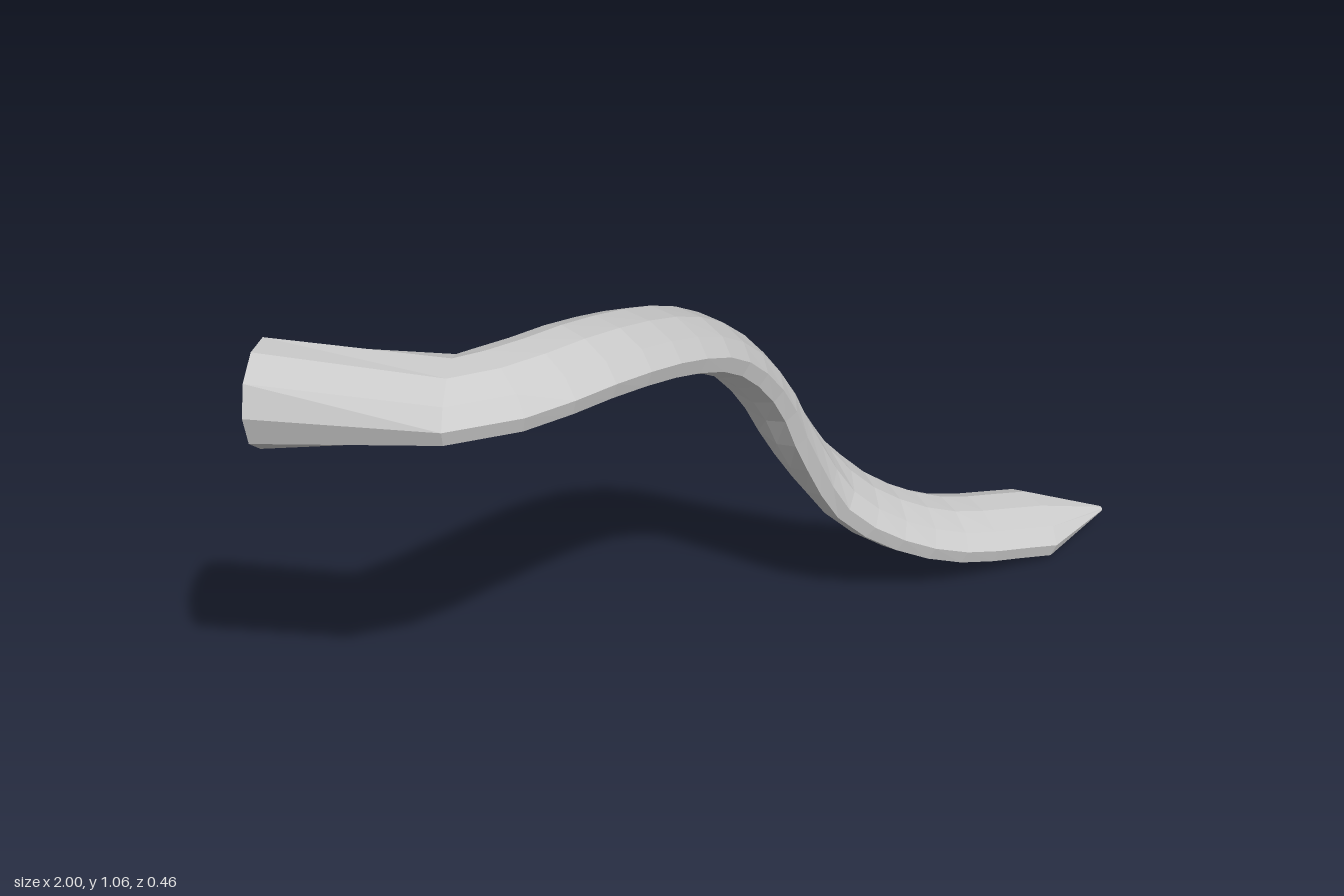
import * as THREE from 'three';

const SIDES = 10;
const ROLL = THREE.MathUtils.degToRad(14);
const WIDE = 0.1, THIN = 0.05;
const UP = new THREE.Vector3(0, 1, 0);

// One elliptical cross-section, perpendicular to the heading, front edge rolled down.
// Narrow facets, not corners, lie on the front and back edges.
function section(center, heading, a, b) {
  const t = heading.clone().normalize();
  const side = new THREE.Vector3().crossVectors(t, UP).normalize();
  const top = new THREE.Vector3().crossVectors(side, t);
  side.applyAxisAngle(t, ROLL);
  top.applyAxisAngle(t, ROLL);
  return Array.from({ length: SIDES }, (_, j) => {
    const k = ((j + 0.5) / SIDES) * Math.PI * 2;
    return center.clone().addScaledVector(side, a * Math.cos(k)).addScaledVector(top, b * Math.sin(k));
  });
}

// Skin a list of cross-sections
function loft(name, rings, material, capEnd = false) {
  const index = [];
  for (let i = 0; i < rings.length - 1; i++) {
    for (let j = 0; j < SIDES; j++) {
      const n = (j + 1) % SIDES;
      const a = i * SIDES + j, d = i * SIDES + n;
      index.push(a, a + SIDES, d, a + SIDES, d + SIDES, d);
    }
  }
  if (capEnd) {
    const s = (rings.length - 1) * SIDES;
    for (let j = 1; j < SIDES - 1; j++) index.push(s, s + j + 1, s + j);
  }
  const geometry = new THREE.BufferGeometry().setFromPoints(rings.flat());
  geometry.setIndex(index);
  geometry.computeVertexNormals();
  const mesh = new THREE.Mesh(geometry, material);
  mesh.name = name;
  return mesh;
}

export function createModel() {
  const group = new THREE.Group();
  group.name = 'curvedSpike';
  const material = new THREE.MeshStandardMaterial({
    color: 0xcccccc, flatShading: true, side: THREE.DoubleSide,
  });

  // Centre line of the flattened, S-shaped shaft
  const path = new THREE.CatmullRomCurve3([
    [-0.715, 0.992, 0.097], [-0.66, 0.993, 0.12], [-0.58, 0.99, 0.13], [-0.42, 0.973, 0.117],
    [-0.2, 0.9, 0.062], [-0.05, 0.808, 0.016], [0.08, 0.67, -0.014], [0.175, 0.51, -0.021],
    [0.265, 0.37, -0.01], [0.37, 0.255, 0.023], [0.55, 0.142, 0.07], [0.82, 0.057, 0.112],
  ].map((p) => new THREE.Vector3(...p)));

  const STEPS = 22;
  const shaft = [];
  for (let i = 0; i <= STEPS; i++) {
    // The first section is the mitre of the bend
    const heading = i === 0 ? new THREE.Vector3(0.72, 0, 0.69) : path.getTangentAt(i / STEPS);
    shaft.push(section(path.getPointAt(i / STEPS), heading, WIDE, THIN));
  }

  // Open round socket, bent backwards
  const mouth = section(new THREE.Vector3(-0.928, 0.967, -0.168), new THREE.Vector3(0.64, 0, 0.77), 0.098, 0.099);
  group.add(loft('socket', [mouth, shaft[0]], material));
  group.add(loft('shaft', shaft, material));

  // Faceted point
  const tip = section(new THREE.Vector3(0.997, 0.043, 0.166), path.getTangentAt(1), 0.007, 0.005);
  group.add(loft('point', [shaft[STEPS], tip], material, true));

  return group;
}
